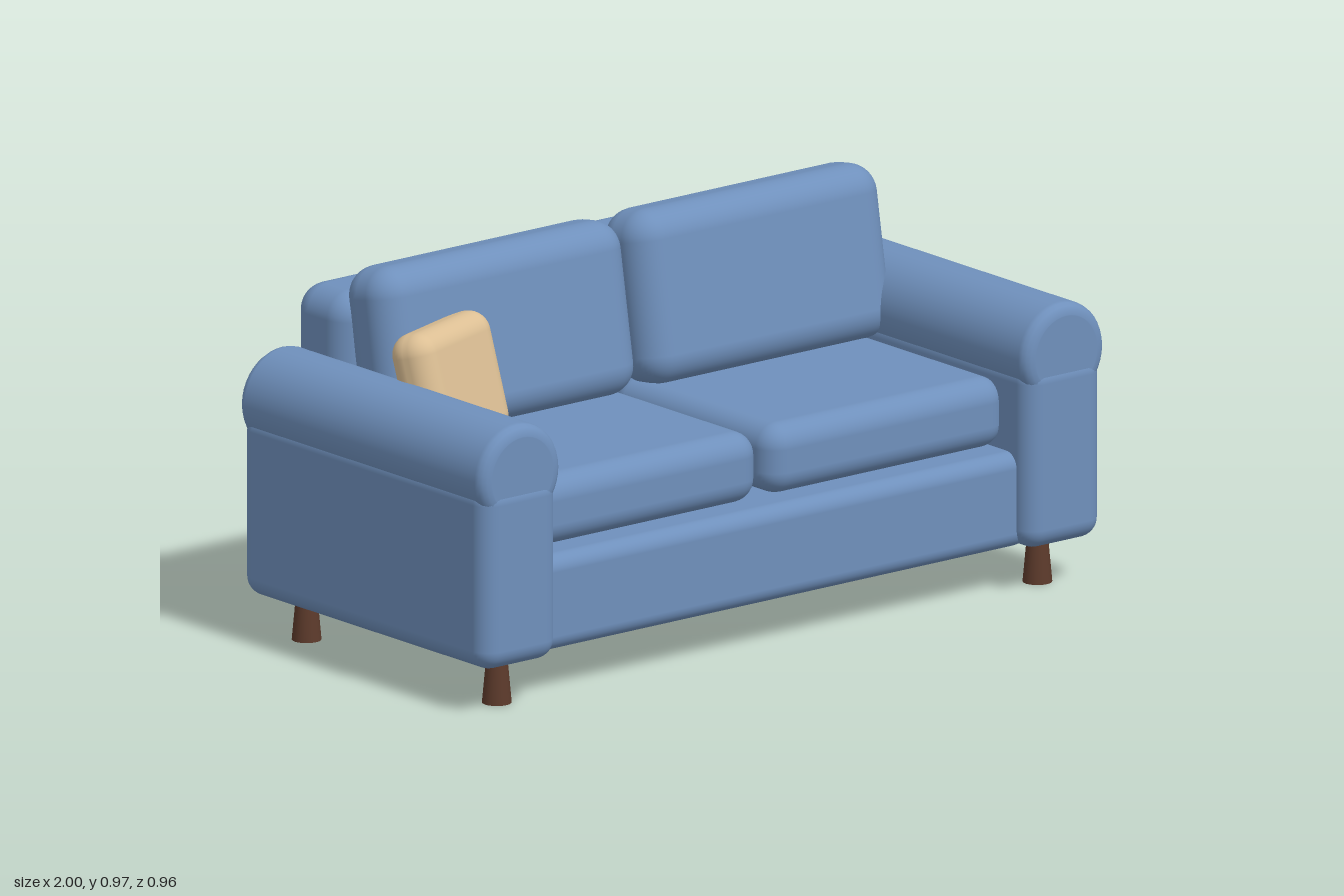
import * as THREE from 'three';
import { RoundedBoxGeometry } from 'three/addons/geometries/RoundedBoxGeometry.js';

function material(name, color) {
  const m = new THREE.MeshStandardMaterial({ color });
  m.name = name;
  return m;
}

export function createModel() {
  const sofa = new THREE.Group();
  sofa.name = 'sofa';
  const fabric = material('blue fabric', 0x6f90bc);
  const sand = material('sand fabric', 0xdcbf94);
  const wood = material('dark wood', 0x5c3a2b);

  function add(name, geometry, mat, x, y, z, parent = sofa) {
    const mesh = new THREE.Mesh(geometry, mat);
    mesh.name = name;
    mesh.position.set(x, y, z);
    parent.add(mesh);
    return mesh;
  }
  const soft = (w, h, d, r) => new RoundedBoxGeometry(w, h, d, 5, r);

  // Frame: base and backrest
  add('base', soft(1.6, 0.245, 0.86, 0.04), fabric, 0, 0.238, 0);
  add('backrest', soft(1.66, 0.57, 0.215, 0.07), fabric, 0, 0.605, -0.3725);

  // Arm roll: a cylinder along z with rounded rims
  const half = 0.477, radius = 0.13, bevel = 0.03;
  const profile = [new THREE.Vector2(0, -half), new THREE.Vector2(radius - bevel - 0.002, -half)];
  for (const end of [-1, 1]) {
    for (let i = 0; i <= 4; i++) {
      const a = (end < 0 ? i : 4 - i) * Math.PI / 8;
      profile.push(new THREE.Vector2(
        radius - bevel + bevel * Math.sin(a),
        end * (half - bevel + bevel * Math.cos(a))));
    }
  }
  profile.push(new THREE.Vector2(radius - bevel - 0.002, half), new THREE.Vector2(0, half));
  const rollGeometry = new THREE.LatheGeometry(profile, 40).rotateX(Math.PI / 2);
  const armGeometry = soft(0.242, 0.475, 0.96, 0.05);
  const legGeometry = new THREE.CylinderGeometry(0.025, 0.037, 0.13, 20);
  const seatGeometry = soft(0.765, 0.18, 0.64, 0.06);
  const backGeometry = soft(0.795, 0.44, 0.187, 0.075);

  // Mirrored parts
  for (const [side, s] of [['left', 1], ['right', -1]]) {
    const arm = new THREE.Group();
    arm.name = `${side} arm`;
    sofa.add(arm);
    add('armPanel', armGeometry, fabric, s * 0.87, 0.3525, 0, arm);
    add('armRoll', rollGeometry, fabric, s * 0.87, 0.605, 0, arm);

    add(`${side} seatCushion`, seatGeometry, fabric, s * 0.395, 0.45, 0.05);
    const back = add(`${side} backCushion`, backGeometry, fabric, s * 0.41, 0.748, -0.205);
    back.rotation.x = -0.17;

    for (const [end, z] of [['front', 0.37], ['back', -0.37]]) {
      add(`${side} ${end}Leg`, legGeometry, wood, s * 0.865, 0.065, z);
    }
  }

  // Throw pillow leaning in the right corner
  const pillow = add('throwPillow', soft(0.34, 0.32, 0.125, 0.055), sand, -0.668, 0.688, -0.05);
  pillow.rotation.set(-0.25, 0.33, 0, 'YXZ');

  return sofa;
}
